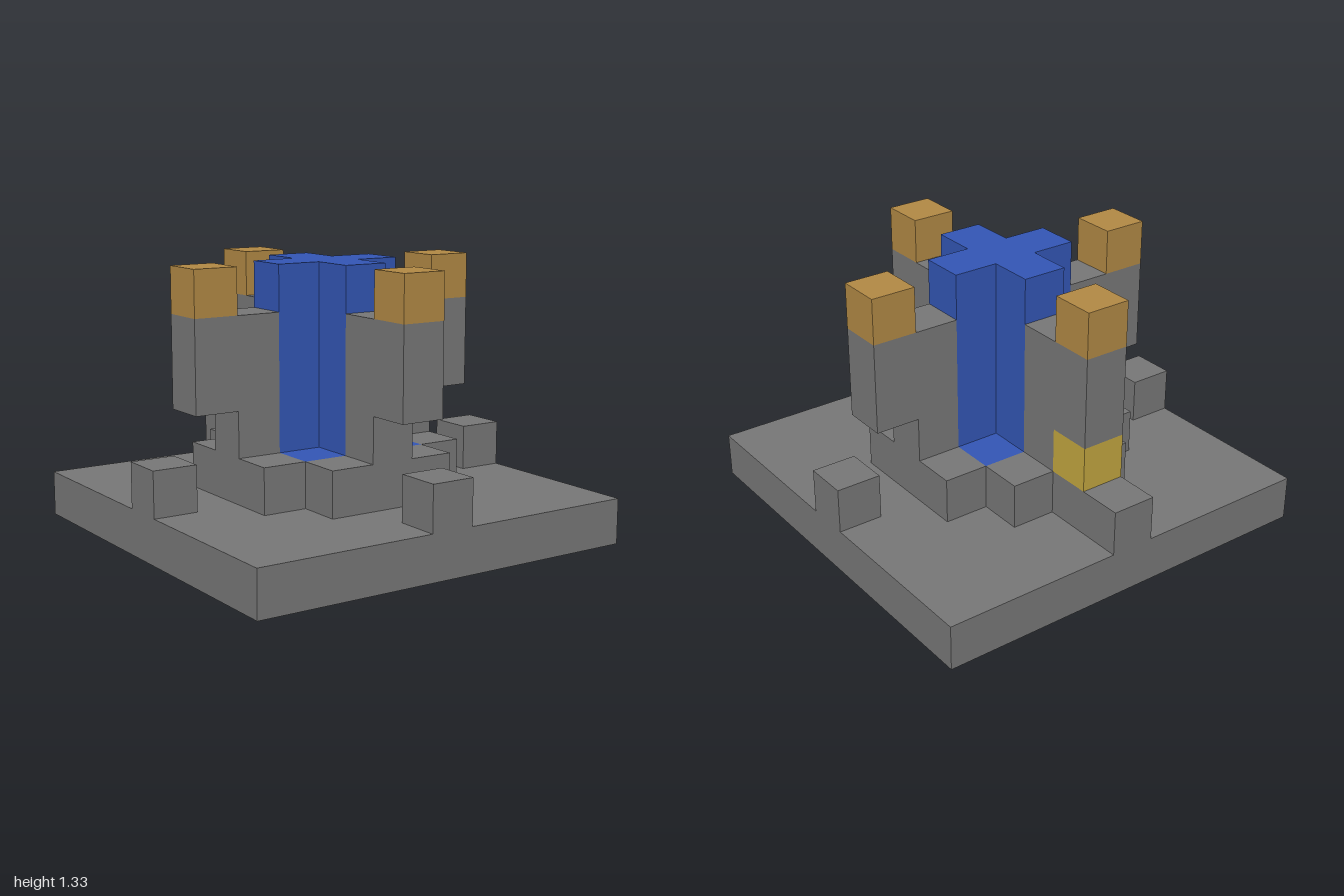
import * as THREE from 'three';

const U = 2 / 9; // edge of one block

export function createModel() {
  const mat = (name, color) => {
    const m = new THREE.MeshStandardMaterial({ color });
    m.name = name;
    return m;
  };
  const stone = mat('stone grey', 0x777777);
  const blue = mat('deep blue', 0x3356b5);
  const copper = mat('copper', 0xb28945);
  const gold = mat('gold', 0xc2a640);
  const olive = mat('dark olive', 0x64674f);

  // Box centred on block column (x, z), from layer y0 up to y1, sized in blocks
  const block = (parent, name, material, x, z, y0, y1, w = 1, d = 1) => {
    const mesh = new THREE.Mesh(new THREE.BoxGeometry(w * U, (y1 - y0) * U, d * U), material);
    mesh.name = name;
    mesh.position.set(x * U, ((y0 + y1) / 2) * U, z * U);
    parent.add(mesh);
  };

  const model = new THREE.Group();
  model.name = 'blockTower';

  // Square base with a central inlay seen from below
  const square = (P, s) => new P([
    new THREE.Vector2(-s, -s), new THREE.Vector2(s, -s),
    new THREE.Vector2(s, s), new THREE.Vector2(-s, s),
  ]);
  const slab = square(THREE.Shape, 1);
  slab.holes.push(square(THREE.Path, 1.5 * U));
  const baseGeo = new THREE.ExtrudeGeometry(slab, { depth: U, bevelEnabled: false });
  baseGeo.rotateX(-Math.PI / 2);
  const base = new THREE.Mesh(baseGeo, stone);
  base.name = 'base';
  model.add(base);
  block(model, 'baseInlay', olive, 0, 0, 0, 1, 3, 3);

  // Blue core: square foot carrying a cross-shaped column
  block(model, 'coreFoot', blue, 0, 0, 1, 2, 3, 3);
  const s = U / 2, t = 1.5 * U;
  const cross = new THREE.Shape([
    [-s, -t], [s, -t], [s, -s], [t, -s], [t, s], [s, s],
    [s, t], [-s, t], [-s, s], [-t, s], [-t, -s], [-s, -s],
  ].map(([x, y]) => new THREE.Vector2(x, y)));
  const crossGeo = new THREE.ExtrudeGeometry(cross, { depth: 4 * U, bevelEnabled: false });
  crossGeo.rotateX(-Math.PI / 2);
  const core = new THREE.Mesh(crossGeo, blue);
  core.name = 'coreColumn';
  core.position.y = 2 * U;
  model.add(core);

  // Four identical sides: curb, buttress, overhanging arm, cap and edge post
  for (let i = 0; i < 4; i++) {
    const side = new THREE.Group();
    side.name = ['front', 'left', 'back', 'right'][i] + 'Side';
    side.rotation.y = (i * Math.PI) / 2;
    block(side, 'curb', stone, 0, 2, 1, 2, 3, 1);
    block(side, 'buttress', stone, 0, 2, 2, 3);
    block(side, 'arm', stone, 0, 2.5, 3, 5, 1, 2);
    block(side, 'armCap', copper, 0, 3, 5, 6);
    block(side, 'edgePost', stone, 0, 4, 1, 2);
    model.add(side);
  }

  // Gold block on its plinth, filling the gap under the back arm
  block(model, 'goldPlinth', stone, 0, -3, 1, 2);
  block(model, 'goldBlock', gold, 0, -3, 2, 3);

  return model;
}
